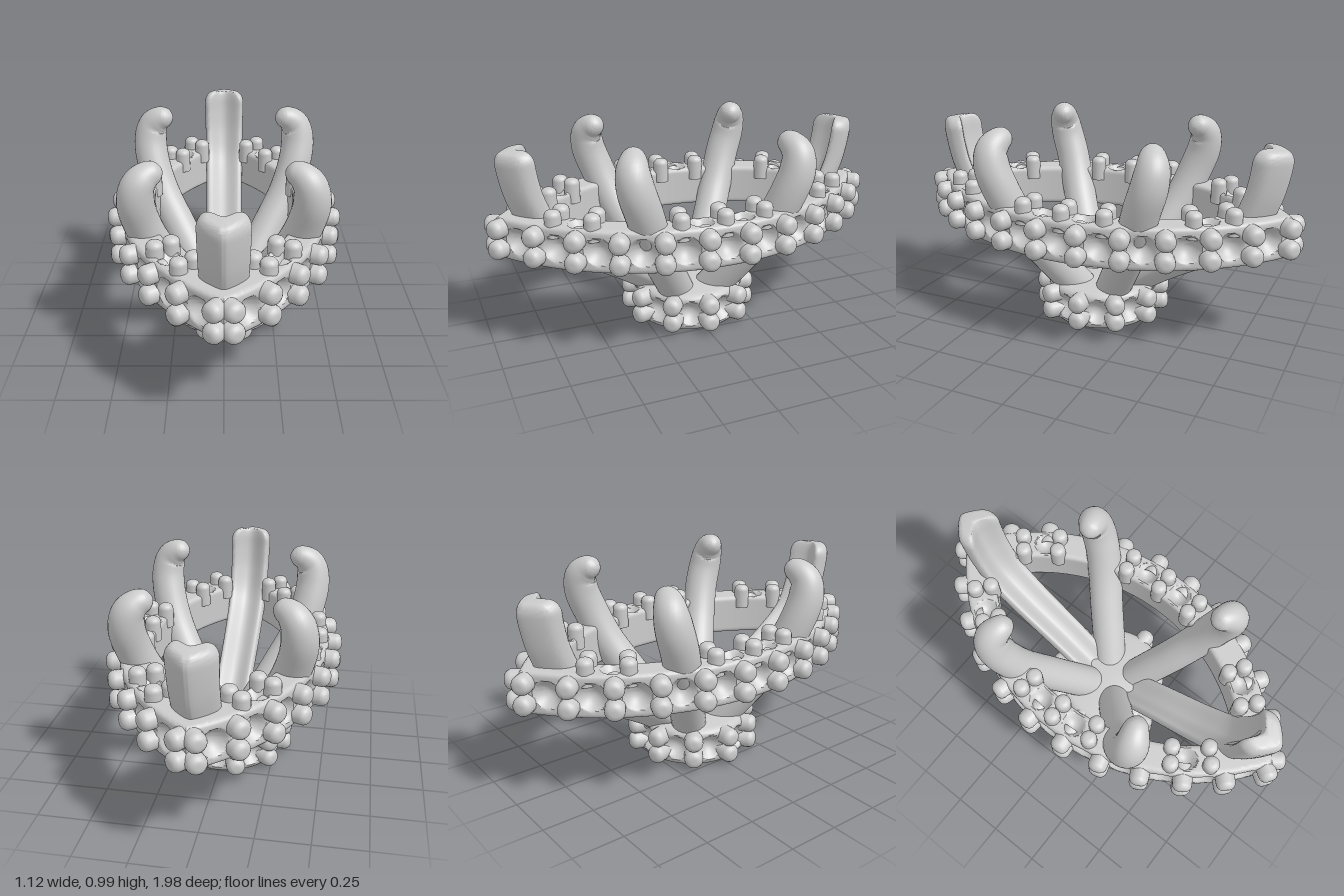
import * as THREE from 'three';
import { toCreasedNormals } from 'three/addons/utils/BufferGeometryUtils.js';

const V = (x, y, z) => new THREE.Vector3(x, y, z);
const rad = THREE.MathUtils.degToRad;
const material = new THREE.MeshStandardMaterial({ color: 0xcccccc });

// Marquise outline: two arcs whose centres sit C either side of the middle
const C = 0.63, R_OUT = 1.13, R_IN = 0.985, Y0 = 0.437, Y1 = 0.64, STEP = 9.93;
const arc = (r, deg, y) => V(r * Math.cos(rad(deg)) - C, y, r * Math.sin(rad(deg)));

function add(parent, name, geometry) {
  const mesh = new THREE.Mesh(geometry, material);
  mesh.name = name;
  parent.add(mesh);
  return mesh;
}

// Skin a list of closed rings of points
function loft(rings, crease = 0.7) {
  const m = rings[0].length, pos = [], idx = [];
  rings.forEach(ring => ring.forEach(p => pos.push(p.x, p.y, p.z)));
  for (let i = 0; i < rings.length - 1; i++) {
    for (let j = 0; j < m; j++) {
      const a = i * m + j, b = i * m + (j + 1) % m;
      idx.push(a, a + m, b, b, a + m, b + m);
    }
  }
  const g = new THREE.BufferGeometry();
  g.setAttribute('position', new THREE.Float32BufferAttribute(pos, 3));
  g.setIndex(idx);
  return toCreasedNormals(g, crease);
}

// Press round stone seats into a surface point
function press(p, seats) {
  for (const s of seats) {
    const d = p.clone().sub(s.at), h = d.dot(s.dir);
    const k = (d.lengthSq() - h * h) / (s.r * s.r);
    if (k < 1 && h > -0.06) return p.addScaledVector(s.dir, -0.75 * s.r * (1 - k));
  }
  return p;
}

// Round-ended peg running from one point to another
function peg(parent, name, from, to, r) {
  const len = from.distanceTo(to), e = r * 0.72, profile = [new THREE.Vector2(r, 0)];
  for (let k = 0; k <= 5; k++) {
    const a = k / 5 * Math.PI / 2;
    profile.push(new THREE.Vector2(r - e + e * Math.cos(a), len - e + e * Math.sin(a)));
  }
  profile.push(new THREE.Vector2(0, len));
  const mesh = add(parent, name, new THREE.LatheGeometry(profile, 18));
  mesh.position.copy(from);
  mesh.quaternion.setFromUnitVectors(V(0, 1, 0), to.clone().sub(from).normalize());
}

// One curved half of the marquise rim, with its seats and pegs
function halfRim() {
  const half = new THREE.Group();
  const seats = [];
  for (let k = -5; k <= 5; k++) {
    const a = rad(k * STEP);
    seats.push({ at: arc(R_OUT, k * STEP, 0.54), dir: V(Math.cos(a), 0, Math.sin(a)), r: 0.066 });
  }
  for (const deg of [-35.2, -5.4, 5.4, 35.2]) {
    seats.push({ at: arc(1.052, deg, Y1), dir: V(0, 1, 0), r: 0.055 });
  }
  // Rounded rectangular section, clockwise in (radius, height)
  const q = 0.02, H = Math.PI / 2, path = new THREE.Path();
  path.absarc(R_OUT - q, Y1 - q, q, H, 0, true);
  path.absarc(R_OUT - q, Y0 + q, q, 0, -H, true);
  path.absarc(R_IN + q, Y0 + q, q, -H, -2 * H, true);
  path.absarc(R_IN + q, Y1 - q, q, 2 * H, H, true);
  path.closePath();
  const section = path.getSpacedPoints(72).slice(0, 72);
  const rings = [], N = 220;
  for (let i = 0; i <= N; i++) {
    const u = 2 * i / N - 1;
    rings.push(section.map(s => {
      const deg = u * THREE.MathUtils.radToDeg(Math.acos(C / s.x));
      return press(arc(s.x, deg, s.y), seats);
    }));
  }
  add(half, 'rim', loft(rings));
  for (let k = -5.5; k <= 5.5; k++) {
    for (const y of [0.492, 0.59]) {
      peg(half, 'rimSidePeg', arc(1.07, k * STEP, y), arc(1.195, k * STEP, y), 0.046);
    }
  }
  for (const deg of [-41.3, -31.5, -10.8, 0, 10.8, 31.5, 41.3]) {
    for (const r of [1.005, 1.085]) {
      peg(half, 'rimTopPeg', arc(r, deg, 0.58), arc(r, deg, 0.703), 0.039);
    }
  }
  return half;
}

// Solid round base with seats and pegs around its wall
function base() {
  const group = new THREE.Group();
  group.name = 'base';
  const at = (r, deg, y) => V(r * Math.cos(rad(deg)), y, r * Math.sin(rad(deg)));
  const seats = [];
  for (let k = 0; k < 10; k++) {
    seats.push({ at: at(0.275, 18 + 36 * k, 0.1), dir: at(1, 18 + 36 * k, 0), r: 0.062 });
    for (const y of [0.06, 0.147]) peg(group, 'basePeg', at(0.22, 36 * k, y), at(0.337, 36 * k, y), 0.046);
  }
  const profile = [[0, 0], [0.235, 0], [0.258, 0.009], [0.27, 0.022]];
  for (let k = 0; k <= 14; k++) profile.push([0.275, 0.035 + 0.0095 * k]);
  profile.push([0.27, 0.18], [0.258, 0.19], [0.24, 0.195], [0, 0.195]);
  const rings = profile.map(([r, y]) => Array.from({ length: 160 }, (_, j) =>
    press(at(r, j * 360 / 160, y), r === 0.275 ? seats : [])));
  add(group, 'baseBody', loft(rings));
  return group;
}

// Sweep a section along a path; the end is rounded over capLen, leaving a flat of size "flat"
function prong(points, section, ref, scale, capLen, flat) {
  const curve = new THREE.CatmullRomCurve3(points), L = curve.getLength(), N = 56, rings = [];
  for (let i = 0; i <= N; i++) {
    const t = 1 - (1 - i / N) ** 2;
    const P = curve.getPointAt(t), T = curve.getTangentAt(t);
    const side = ref.clone().addScaledVector(T, -ref.dot(T)).normalize();
    const n = side.clone().cross(T);
    const rest = Math.min(1, L * (1 - t) / capLen);
    const s = scale(t) * (flat + (1 - flat) * Math.sqrt(1 - (1 - rest) ** 2));
    rings.push(section.map(c => P.clone().addScaledVector(side, c.x * s).addScaledVector(n, c.y * s)));
  }
  const end = curve.getPointAt(1);
  rings.push(section.map(() => end.clone()));
  rings.unshift(section.map(() => curve.getPointAt(0)));
  return loft(rings, 0.9);
}

export function createModel() {
  const model = new THREE.Group();
  model.name = 'marquiseSetting';

  // Marquise rim
  const rim = new THREE.Group();
  rim.name = 'marquiseRim';
  for (const turn of [0, Math.PI]) {
    const half = halfRim();
    half.name = turn ? 'rightRimHalf' : 'leftRimHalf';
    half.rotation.y = turn;
    rim.add(half);
  }
  model.add(rim, base());

  // Chevron prongs at the two points of the rim
  const chevron = new THREE.CatmullRomCurve3([
    [0.1, -0.03], [0.088, 0.005], [0.01, 0.073], [-0.01, 0.073], [-0.088, 0.005],
    [-0.1, -0.03], [-0.085, -0.075], [0, -0.03], [0.085, -0.075],
  ].map(([x, y]) => V(x, y, 0)), true).getPoints(45).slice(0, 45);
  const tipPath = [[0.05, 0.1], [0.3, 0.27], [0.58, 0.435], [0.73, 0.56], [0.8, 0.7], [0.83, 0.82], [0.845, 0.94]];
  for (const s of [1, -1]) {
    add(model, s > 0 ? 'frontChevronProng' : 'backChevronProng', prong(
      tipPath.map(([z, y]) => V(0, y, s * z)), chevron, V(s, 0, 0),
      t => 0.9 + 0.2 * t, 0.06, 0.55));
  }

  // Four hooked claws
  const round = Array.from({ length: 28 }, (_, j) =>
    V(Math.cos(j / 14 * Math.PI), Math.sin(j / 14 * Math.PI), 0));
  const clawPath = [
    [0.09, 0.14, 0.085], [0.15, 0.24, 0.14], [0.235, 0.385, 0.22], [0.325, 0.55, 0.3], [0.375, 0.7, 0.355],
    [0.388, 0.81, 0.392], [0.373, 0.885, 0.4], [0.335, 0.925, 0.385], [0.27, 0.945, 0.36],
  ];
  for (const sx of [1, -1]) {
    for (const sz of [1, -1]) {
      add(model, (sz > 0 ? 'front' : 'back') + (sx > 0 ? 'Left' : 'Right') + 'Claw', prong(
        clawPath.map(([x, y, z]) => V(sx * x, y, sz * z)), round, V(sz, 0, -sx).normalize(),
        t => 0.086 - 0.05 * Math.max(0, (t - 0.7) / 0.3) ** 3, 0.035, 0));
    }
  }
  return model;
}
